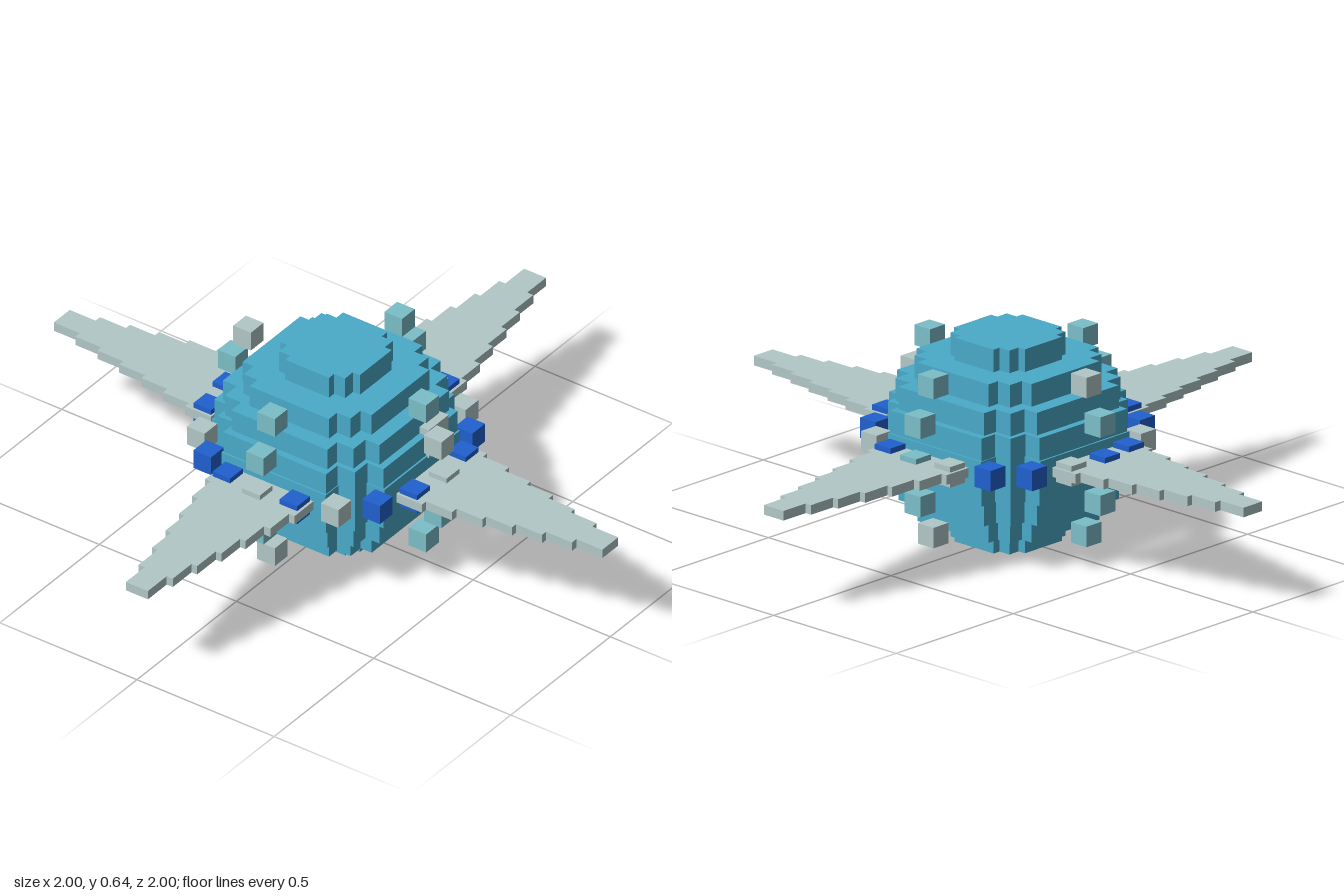
import * as THREE from 'three';

export function createModel() {
  const model = new THREE.Group();
  const mat = (name, color) => {
    const m = new THREE.MeshStandardMaterial({ color });
    m.name = name;
    return m;
  };
  const shellBlue = mat('shell blue', 0x4aabca);
  const paleGrey = mat('pale grey', 0xb3c8c8);
  const softTeal = mat('soft teal', 0x7cbfc9);
  const deepBlue = mat('deep blue', 0x2060d0);

  const add = (name, geometry, material, parent = model) => {
    const mesh = new THREE.Mesh(geometry, material);
    mesh.name = name;
    parent.add(mesh);
    return mesh;
  };

  // Flat slab lying in the xz plane, extruded upwards from y
  const slab = (points, y, height) => {
    const shape = new THREE.Shape(points.map(([x, z]) => new THREE.Vector2(x, -z)));
    const geometry = new THREE.ExtrudeGeometry(shape, { depth: height, bevelEnabled: false });
    return geometry.rotateX(-Math.PI / 2).translate(0, y, 0);
  };

  // Body: nine stacked slabs with stair-stepped corners [outer, middle, inner]
  const tiers = [[0.145, 0.12, 0.08], [0.235, 0.195, 0.145], [0.285, 0.235, 0.175],
    [0.308, 0.25, 0.187], [0.314, 0.25, 0.19]];
  const body = new THREE.Group();
  body.name = 'steppedBody';
  model.add(body);
  const layer = 0.636 / 9;
  for (let i = 0; i < 9; i++) {
    const [a, b, c] = tiers[Math.min(i, 8 - i)];
    const corner = [[a, c], [b, c], [b, b], [c, b], [c, a]];
    const outline = [];
    for (let q = 0; q < 4; q++) {
      for (const [x, z] of corner) {
        outline.push([[x, z], [-z, x], [-x, -z], [z, -x]][q]);
      }
    }
    add('bodyLayer', slab(outline.reverse(), i * layer, layer), shellBlue, body);
  }

  // Front hatch
  add('frontHatch', new THREE.BoxGeometry(0.1, 0.1, 0.06), paleGrey).position.set(0.078, 0.397, 0.288);

  // Four stepped, tapering fins
  const widths = [0.163, 0.143, 0.121, 0.102, 0.082, 0.062, 0.04];
  const side = [];
  const step = (1 - 0.338) / widths.length;
  widths.forEach((w, i) => side.push([0.338 + i * step, w], [0.338 + (i + 1) * step, w]));
  const finOutline = [...side, ...side.map(([x, z]) => [x, -z]).reverse()];
  const finGeometry = slab(finOutline, 0.305, 0.03);
  for (let i = 0; i < 4; i++) {
    add('fin', finGeometry, paleGrey).rotation.y = i * Math.PI / 2;
  }

  // Floating cubes, 18 degrees apart on a sphere around the body
  const cube = new THREE.BoxGeometry(0.064, 0.064, 0.064);
  const colours = { g: paleGrey, t: softTeal, b: deepBlue };
  const turn = Math.PI / 10;
  const place = (name, longitude, latitude, key) => {
    const r = 0.395 * Math.cos(latitude * turn);
    add(name, cube, colours[key]).position.set(
      r * Math.cos(longitude * turn), 0.32 + 0.395 * Math.sin(latitude * turn),
      r * Math.sin(longitude * turn));
  };

  // Equator ring, from +x round through +z
  [...'tbgbbgbbgbgbbbgbbbbg'.replace(/^(.*)$/, 'tbgbbgbbgbgbbgbbgbbg')]
    .forEach((key, i) => place('equatorCube', i, 0, key));

  // Upper and lower cubes on the four sides, at latitudes 2, 1, -1, -2
  ['tttg', 'tgtt', 'tttg', 'gttt'].forEach((keys, s) => {
    [2, 1, -1, -2].forEach((latitude, i) => place('orbitCube', s * 5, latitude, keys[i]));
  });

  return model;
}
